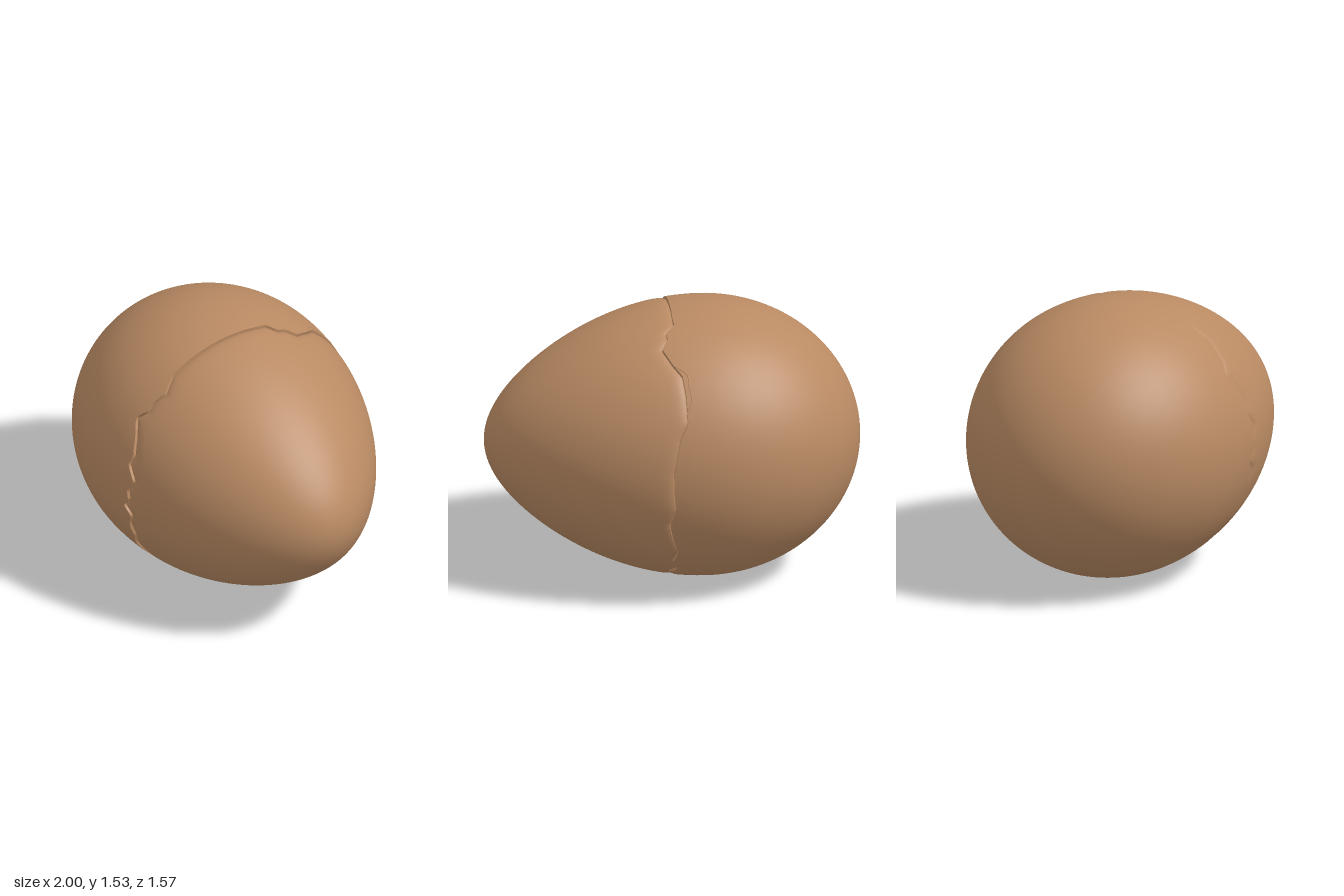
import * as THREE from 'three';

const SEG = 288, TILT = THREE.MathUtils.degToRad(17);
const C = Math.cos(TILT), S = Math.sin(TILT);
const CX = -0.15, CY = 0.767, CZ = -0.008;
const R = 0.767, BLUNT = 0.857, POINT = 1.19;

// Egg radius at distance s along its long axis
function radius(s) {
  const t = s < 0 ? s / BLUNT : s / POINT;
  return R * Math.sqrt(Math.max(0, 1 - t * t)) * (s > 0 ? 1 - 0.2 * t * t : 1);
}

// Crack corners as [angle round the axis, distance along it]
const frontKnots = [[-0.06, 1.46], [-0.09, 1.4], [-0.07, 1.34], [-0.11, 1.28], [-0.12, 1.24], [-0.17, 1.19],
  [-0.13, 1.11], [-0.11, 1.02], [-0.13, 0.96], [-0.08, 0.88], [-0.12, 0.8], [-0.11, 0.74], [-0.15, 0.69],
  [-0.1, 0.63], [-0.13, 0.55], [-0.12, 0.46], [-0.16, 0.36], [-0.14, 0.3], [-0.15, 0.24], [-0.1, 0.18], [-0.09, 0.08]]
  .map(([x, y]) => {
    const a = Math.acos((y - CY) / 0.75);
    return [a, (x - CX + 0.75 * Math.sin(a) * S) / C];
  });
const topKnots = [[0.03, 0], [0.06, -0.1], [0.07, -0.15], [0.13, -0.18], [0.14, -0.23], [0.19, -0.28],
  [0.17, -0.38], [0.14, -0.45], [0.15, -0.53], [0.17, -0.61], [0.22, -0.63], [0.27, -0.66]]
  .map(([x, z]) => {
    const side = -(x - CX) * S + (z - CZ) * C;
    const a = Math.atan2(side, Math.sqrt(Math.max(0, 0.5625 - side * side)));
    return [(a + Math.PI * 2) % (Math.PI * 2), (x - CX) * C + (z - CZ) * S];
  });
const backKnots = [[180, 0.16], [187, 0.18], [194, 0.15], [203, 0.17], [211, 0.21], [218, 0.17], [226, 0.2],
  [234, 0.18], [243, 0.21], [251, 0.23], [259, 0.2], [267, 0.21]]
  .map(([d, s]) => [THREE.MathUtils.degToRad(d), s]);
const knots = [...frontKnots, ...topKnots, ...backKnots].sort((a, b) => a[0] - b[0]);

function crack(angle) {
  const full = Math.PI * 2, n = knots.length;
  let i = knots.findIndex(k => k[0] > angle);
  if (i < 0) i = n;
  const a = knots[(i + n - 1) % n], b = knots[i % n];
  const span = (b[0] - a[0] + full) % full, d = (angle - a[0] + full) % full;
  return a[1] + (b[1] - a[1]) * (span ? d / span : 0);
}

// Surface from rings; each ring maps an angle to [distance along axis, radius]
function shell(name, rings, flip, material) {
  const pos = [], idx = [];
  rings.forEach(ring => {
    for (let i = 0; i < SEG; i++) {
      const a = i / SEG * Math.PI * 2, [s, r] = ring(a);
      pos.push(s, r * Math.cos(a), r * Math.sin(a));
    }
  });
  for (let j = 0; j < rings.length - 1; j++) {
    for (let i = 0; i < SEG; i++) {
      const a = j * SEG + i, b = j * SEG + (i + 1) % SEG, c = a + SEG, d = b + SEG;
      if (flip) idx.push(a, c, b, b, c, d);
      else idx.push(a, b, c, b, d, c);
    }
  }
  const g = new THREE.BufferGeometry();
  g.setAttribute('position', new THREE.Float32BufferAttribute(pos, 3));
  g.setIndex(idx);
  g.computeVertexNormals();
  const mesh = new THREE.Mesh(g, material);
  mesh.name = name;
  return mesh;
}

// Hairline splinter lying on the shell
function splinter(name, points, material) {
  const path = new THREE.CatmullRomCurve3(points.map(([deg, offset]) => {
    const a = THREE.MathUtils.degToRad(deg), s = crack(a) + offset, r = radius(s) - 0.001;
    return new THREE.Vector3(s, r * Math.cos(a), r * Math.sin(a));
  }));
  const mesh = new THREE.Mesh(new THREE.TubeGeometry(path, 24, 0.004, 6), material);
  mesh.name = name;
  return mesh;
}

export function createModel() {
  const brown = new THREE.MeshStandardMaterial({ color: 0xb98a63 });
  brown.name = 'eggshell brown';
  const egg = new THREE.Group();
  egg.name = 'crackedEgg';

  // Ring spacing, finer next to the crack
  const steps = [];
  for (let i = 0; i < 44; i++) steps.push(i / 44 * 0.95);
  for (let i = 0; i <= 8; i++) steps.push(0.95 + i / 8 * 0.05);
  const ease = w => 1 - Math.cos(w * Math.PI / 2);

  // Blunt half, up to the jagged rim
  egg.add(shell('bluntShell', steps.map(w => a => {
    const s = -BLUNT + (crack(a) + BLUNT) * ease(w);
    return [s, radius(s)];
  }), false, brown));

  // Pointed half, sinking slightly towards the rim
  const gap = 0.005;
  const sunk = (s, e) => radius(s) - 0.013 * Math.exp(-(s - e) / 0.025);
  egg.add(shell('pointedShell', steps.map(w => a => {
    const e = crack(a) + gap, s = POINT - (POINT - e) * ease(w);
    return [s, w === 0 ? 0 : sunk(s, e)];
  }), true, brown));

  // Broken rim walls closing the crack
  egg.add(shell('bluntRim', [a => [crack(a), radius(crack(a))],
    a => [crack(a), radius(crack(a)) - 0.05]], false, brown));
  egg.add(shell('pointedRim', [a => [crack(a) + gap, sunk(crack(a) + gap, crack(a) + gap)],
    a => [crack(a) - 0.006, radius(crack(a)) - 0.035]], true, brown));

  // Side splinters at the upper back and the lower front
  egg.add(splinter('upperSplinter', [[302, -0.005], [307, -0.03], [312, -0.025], [318, -0.03], [322, -0.005]], brown));
  egg.add(splinter('lowerSplinter', [[150, -0.005], [153, -0.03], [157, -0.035], [161, -0.005]], brown));

  egg.rotation.y = -TILT;
  egg.position.set(CX, CY, CZ);
  const model = new THREE.Group();
  model.name = 'model';
  model.add(egg);
  return model;
}
